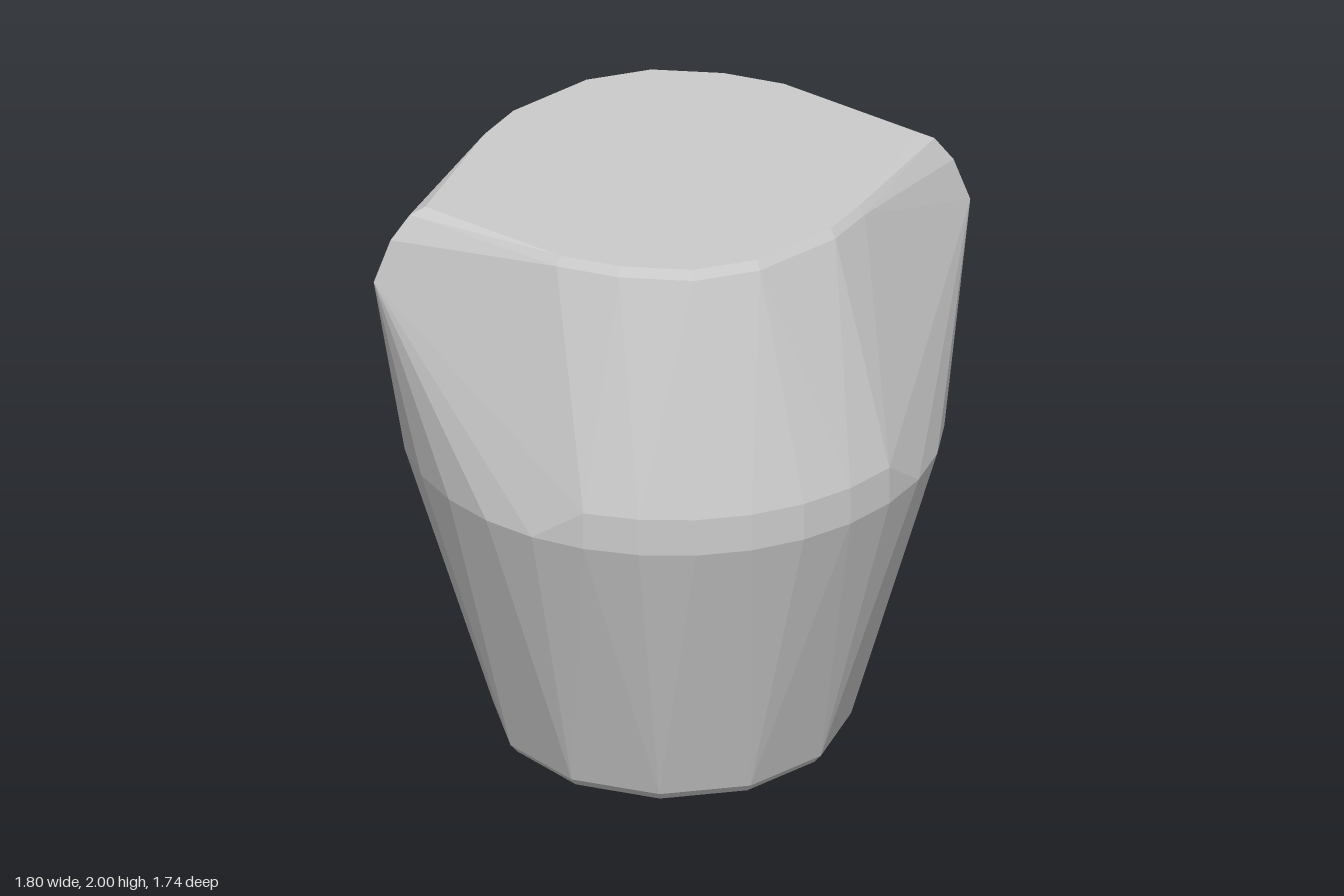
import * as THREE from 'three';
import { ConvexGeometry } from 'three/addons/geometries/ConvexGeometry.js';

export function createModel() {
  const points = [];
  const add = (x, y, z) => points.push(new THREE.Vector3(x, y, z));
  // The body repeats itself after half a turn about the y axis
  const addPair = (x, y, z) => { add(x, y, z); add(-x, y, -z); };
  const ring = (count, radius, y, keep = () => true) => {
    for (let i = 0; i < count; i++) {
      const a = ((i + 0.5) / count) * Math.PI * 2;
      if (keep((a * 180) / Math.PI)) add(Math.cos(a) * radius, y, Math.sin(a) * radius);
    }
  };

  // Bevelled twelve-sided foot
  ring(12, 0.55, 0);
  ring(12, 0.575, 0.03);

  // Waist band; its upper edge fades out below the two corners
  ring(30, 0.872, 1.07);
  ring(30, 0.872, 1.2, (deg) => deg % 180 > 70 && deg % 180 < 158);

  // Bevelled top
  const rim = [[-0.3, -0.57], [-0.13, -0.625], [0.18, -0.625], [0.38, -0.54], [0.54, -0.37], [0.64, -0.19]];
  for (const [x, z] of rim) {
    addPair(x, 2, z);
    addPair(x * 1.03, 1.97, z * 1.03);
  }

  // Two rounded corners pulled out from the top
  const corner = [[0.755, 2, 0.335], [0.8, 1.975, 0.36], [0.855, 1.89, 0.39], [0.9, 1.74, 0.42]];
  for (const p of corner) addPair(...p);

  const body = new THREE.Mesh(
    new ConvexGeometry(points),
    new THREE.MeshStandardMaterial({ color: 0xcccccc, flatShading: true })
  );
  body.name = 'body';
  const group = new THREE.Group();
  group.name = 'facetedBlock';
  group.add(body);
  return group;
}
